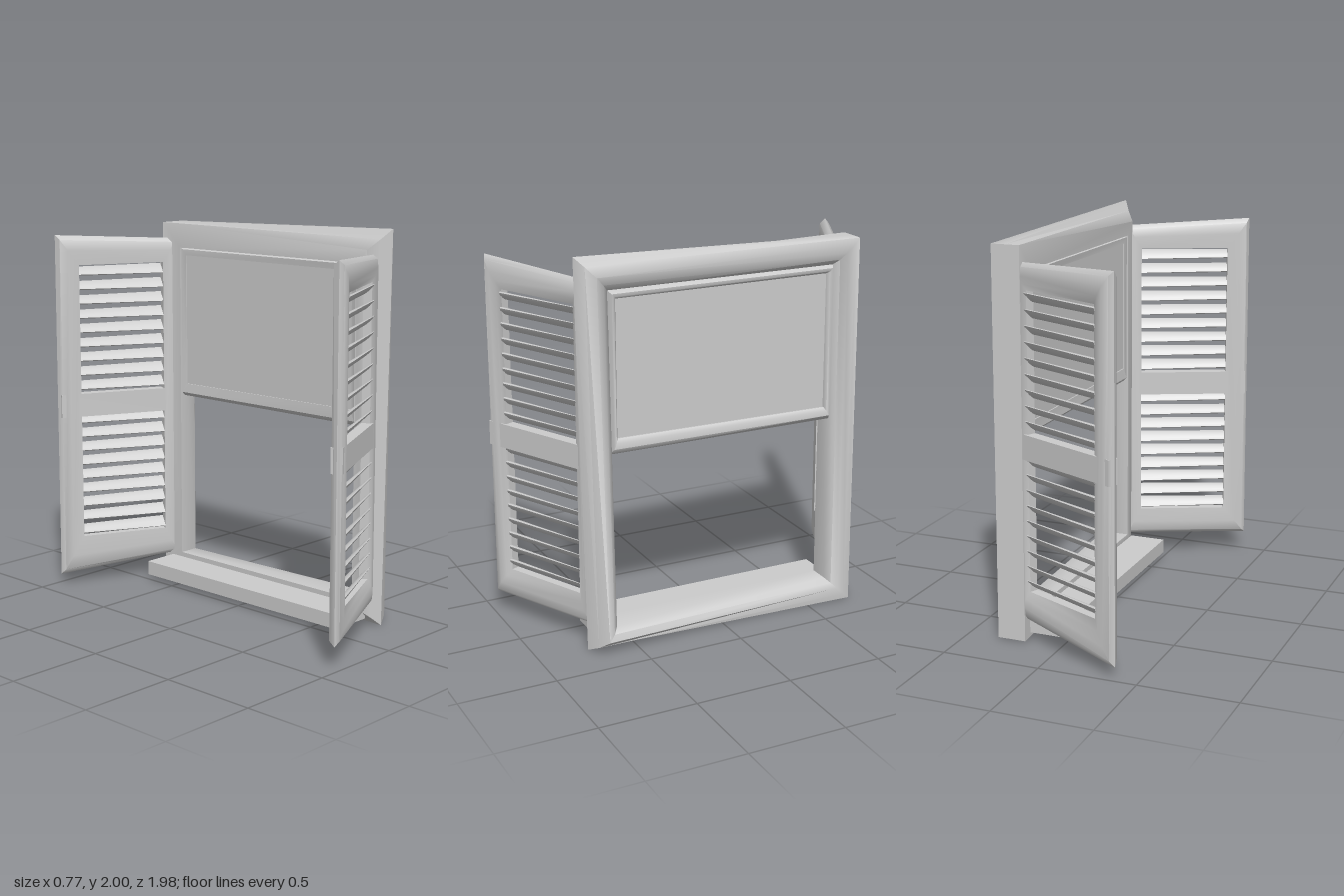
import * as THREE from 'three';
import { toCreasedNormals } from 'three/addons/utils/BufferGeometryUtils.js';

const material = new THREE.MeshStandardMaterial({ color: 0xcccccc });

function add(parent, name, geometry, x = 0, y = 0, z = 0) {
  const mesh = new THREE.Mesh(geometry, material);
  mesh.name = name;
  mesh.position.set(x, y, z);
  parent.add(mesh);
}

// Mitred four-sided moulding. Each corner (counter-clockwise from bottom left)
// holds its inner point, outer point and profile of [inner-to-outer t, depth].
function moulding(corners) {
  const positions = [];
  const points = corners.map(({ inner, outer, profile }) =>
    profile.map(([t, depth]) => [
      inner[0] + (outer[0] - inner[0]) * t,
      inner[1] + (outer[1] - inner[1]) * t,
      depth,
    ]));
  const n = points[0].length;
  for (let i = 0; i < 4; i++) {
    const from = points[i], to = points[(i + 1) % 4];
    for (let k = 0; k < n; k++) {
      const m = (k + 1) % n;
      positions.push(...from[k], ...from[m], ...to[k], ...from[m], ...to[m], ...to[k]);
    }
  }
  const geometry = new THREE.BufferGeometry();
  geometry.setAttribute('position', new THREE.Float32BufferAttribute(positions, 3));
  return toCreasedNormals(geometry, 0.85);
}

// Window frame profiles: flat back and rounded face, ending in a ridge or a flat side
const ridgedProfile = (front) => [
  [0, 0.19], [0, front - 0.05], [0.2, front - 0.018], [0.45, front],
  [0.75, (front + 0.265) / 2 + 0.01], [1, 0.267], [0.7, 0.232], [0.4, 0.19],
];
const squareProfile = [
  [0, 0.19], [0, 0.295], [0.2, 0.322], [0.45, 0.337],
  [0.75, 0.34], [1, 0.335], [1, 0.26], [1, 0.19],
];

function buildWindow() {
  const group = new THREE.Group();
  group.name = 'window';
  group.rotation.y = Math.PI / 2;

  add(group, 'windowFrame', moulding([
    { inner: [-0.61, 0.13], outer: [-0.74, 0], profile: ridgedProfile(0.385) },
    { inner: [0.61, 0.13], outer: [0.74, 0.005], profile: squareProfile },
    { inner: [0.61, 1.83], outer: [0.74, 1.96], profile: squareProfile },
    { inner: [-0.61, 1.83], outer: [-0.77, 2], profile: ridgedProfile(0.34) },
  ]));

  // Raised sash with its rounded bottom rail and solid panel
  const sashProfile = [[0, 0.2], [0, 0.3], [0.25, 0.315], [0.6, 0.318], [1, 0.285], [1, 0.22], [0.7, 0.195]];
  add(group, 'sash', moulding([
    { inner: [-0.575, 1.1], outer: [-0.615, 1.02], profile: sashProfile },
    { inner: [0.575, 1.09], outer: [0.615, 1.02], profile: sashProfile },
    { inner: [0.575, 1.79], outer: [0.615, 1.835], profile: sashProfile },
    { inner: [-0.575, 1.79], outer: [-0.615, 1.835], profile: sashProfile },
  ]));
  add(group, 'sashPanel', new THREE.BoxGeometry(1.18, 0.74, 0.086), 0, 1.43, 0.249);

  add(group, 'sill', new THREE.BoxGeometry(1.35, 0.075, 0.23), 0.005, 0.0675, 0.11);
  return group;
}

// Louvre blade with its outside edge tilted up, thinning towards the hinge
function slatGeometry() {
  const geometry = new THREE.CylinderGeometry(0.036, 0.03, 0.485, 10);
  const position = geometry.attributes.position;
  for (let i = 0; i < position.count; i++)
    position.setZ(i, position.getZ(i) * (position.getY(i) > 0 ? 0.15 : 0.42));
  geometry.rotateZ(-Math.PI / 2);
  geometry.rotateX(0.8);
  return toCreasedNormals(geometry, 1);
}

function buildShutter(name, outerBottom) {
  const shutter = new THREE.Group();
  shutter.name = name;
  shutter.position.set(0.2, 0, 0.697);
  shutter.rotation.y = 0.437;

  const profile = [
    [0, -0.028], [0, 0.015], [0.25, 0.028], [0.55, 0.034], [0.85, 0.024],
    [1, 0.004], [0.85, -0.026], [0.5, -0.033],
  ];
  add(shutter, 'shutterFrame', moulding([
    { inner: [-0.52, 0.265], outer: [-0.645, outerBottom], profile },
    { inner: [-0.05, 0.265], outer: [0.025, 0.115], profile },
    { inner: [-0.05, 1.75], outer: [0.025, 1.875], profile },
    { inner: [-0.52, 1.75], outer: [-0.64, 1.91], profile },
  ]));
  add(shutter, 'middleRail', new THREE.BoxGeometry(0.63, 0.125, 0.058), -0.315, 0.995, 0);

  // Louvres above and below the middle rail
  const slat = slatGeometry();
  for (const base of [0.3, 1.1])
    for (let i = 0; i < 9; i++) add(shutter, 'slat', slat, -0.285, base + i * 0.077, 0);
  return shutter;
}

export function createModel() {
  const model = new THREE.Group();
  model.name = 'shutteredWindow';
  model.add(buildWindow());
  model.add(buildShutter('frontShutter', 0.11));

  const mirrored = new THREE.Group();
  mirrored.name = 'backShutterSide';
  mirrored.scale.z = -1;
  mirrored.add(buildShutter('backShutter', 0.055));
  model.add(mirrored);
  return model;
}
